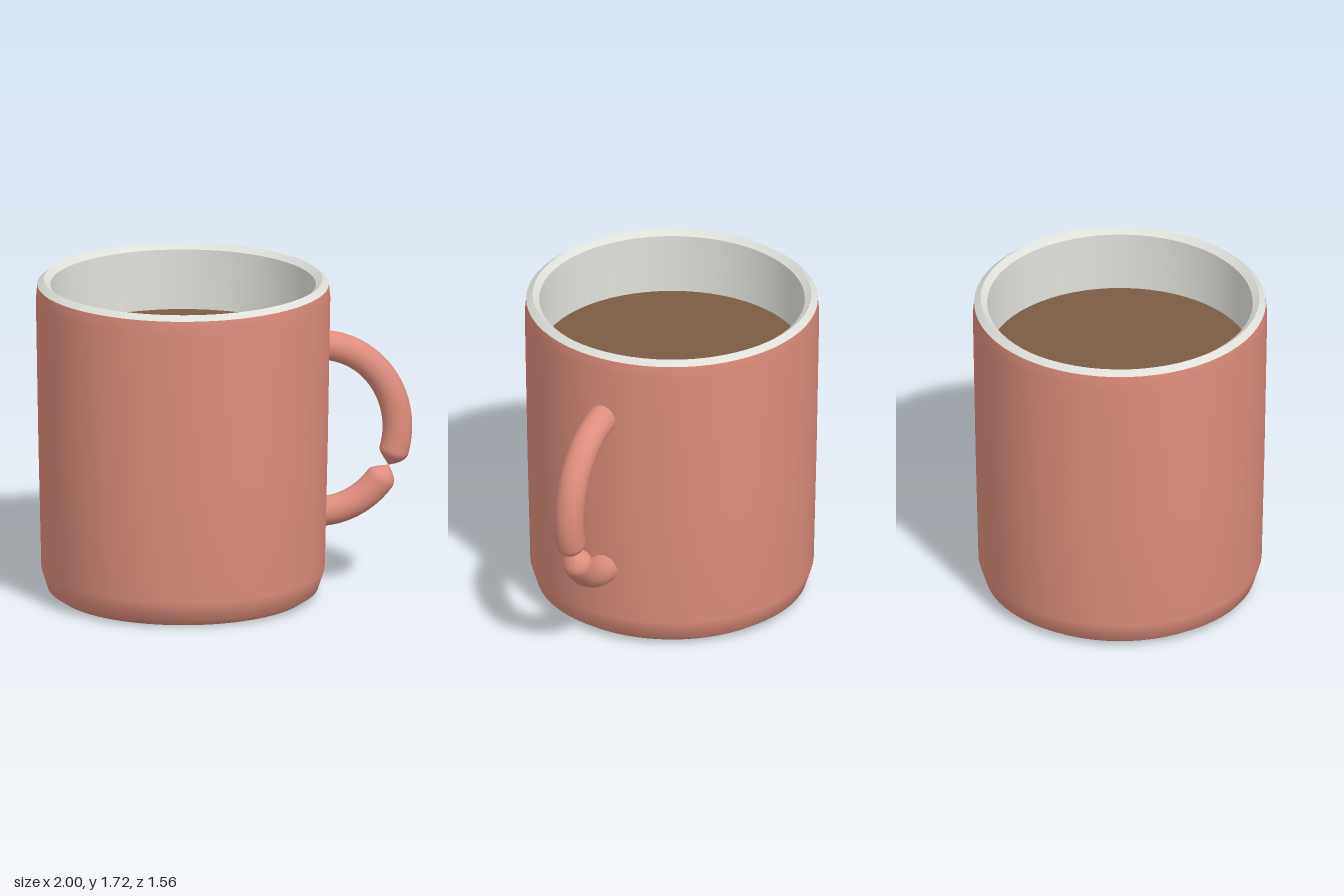
import * as THREE from 'three';
import { toCreasedNormals } from 'three/addons/utils/BufferGeometryUtils.js';

const CUP_X = -0.22;
const SEGMENTS = 64;

const clay = new THREE.MeshStandardMaterial({ name: 'clay red', color: 0xde8d7d });
const glaze = new THREE.MeshStandardMaterial({ name: 'glaze grey', color: 0xdfdfda });
const coffeeBrown = new THREE.MeshStandardMaterial({ name: 'coffee brown', color: 0x7a5c44 });

function part(name, geometry, material) {
  const mesh = new THREE.Mesh(geometry, material);
  mesh.name = name;
  return mesh;
}

function lathe(points) {
  return new THREE.LatheGeometry(points.map(([r, y]) => new THREE.Vector2(r, y)), SEGMENTS);
}

// Half ellipse from the upper joint round to the lower joint
const ARC = { x: 0.5, y: 0.885, rx: 0.42, ry: 0.455, radius: 0.079 };
class HandleCurve extends THREE.Curve {
  getPoint(t, target = new THREE.Vector3()) {
    const a = Math.PI * (0.5 - t);
    return target.set(ARC.x + ARC.rx * Math.cos(a), ARC.y + ARC.ry * Math.sin(a), 0);
  }
}

// Round tube whose section shrinks to a point at the pinch
function handleGeometry() {
  const curve = new HandleCurve();
  const steps = 120, pinch = 79 / steps, reach = 0.062;
  const geometry = new THREE.TubeGeometry(curve, steps, ARC.radius, 24);
  const pos = geometry.attributes.position, uv = geometry.attributes.uv;
  const v = new THREE.Vector3();
  for (let i = 0; i < pos.count; i++) {
    const u = uv.getX(i);
    const d = Math.min(1, Math.abs(u - pinch) / reach);
    const scale = Math.max(0.015, Math.sin(d * Math.PI / 2));
    const centre = curve.getPointAt(u);
    v.fromBufferAttribute(pos, i).sub(centre).multiplyScalar(scale).add(centre);
    pos.setXYZ(i, v.x, v.y, v.z);
  }
  return toCreasedNormals(geometry, Math.PI / 4);
}

export function createModel() {
  const model = new THREE.Group();
  model.name = 'mug';

  const cup = new THREE.Group();
  cup.name = 'cup';
  cup.position.x = CUP_X;
  model.add(cup);

  // Outer wall with a rounded foot
  cup.add(part('body', lathe([
    [0, 0], [0.6, 0], [0.66, 0.003], [0.715, 0.04], [0.75, 0.15],
    [0.765, 0.8], [0.779, 1.62], [0.772, 1.695],
  ]), clay));

  // Bevelled rim and the lining inside the cup
  cup.add(part('rimAndLining', toCreasedNormals(lathe([
    [0.772, 1.695], [0.738, 1.722], [0.703, 1.695], [0.697, 1.37], [0.67, 0.12], [0, 0.1],
  ]), Math.PI / 7), glaze));

  const coffee = part('coffee', new THREE.CircleGeometry(0.697, SEGMENTS), coffeeBrown);
  coffee.rotation.x = -Math.PI / 2;
  coffee.position.y = 1.37;
  cup.add(coffee);

  model.add(part('handle', handleGeometry(), clay));
  return model;
}
